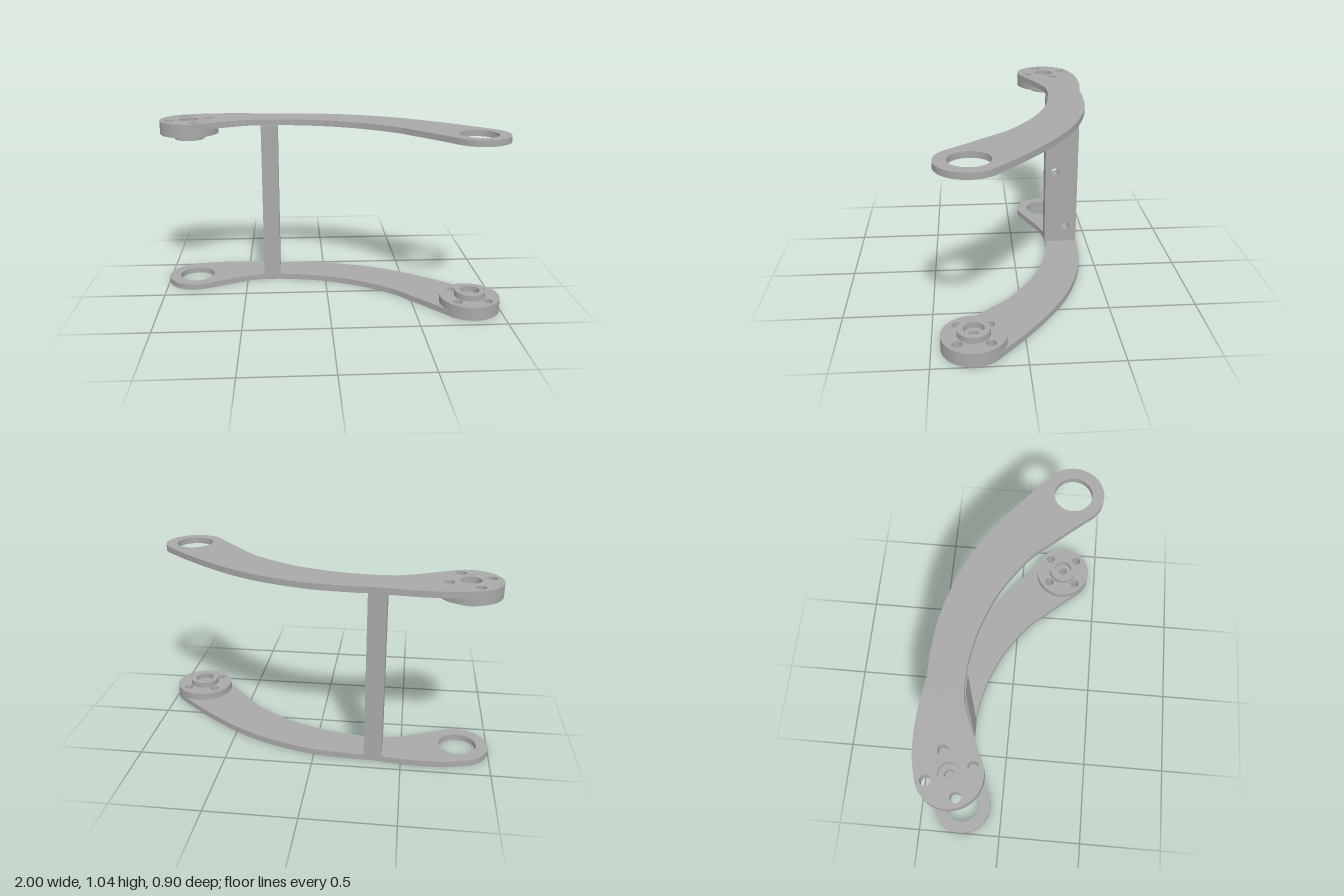
import * as THREE from 'three';
import { toCreasedNormals } from 'three/addons/utils/BufferGeometryUtils.js';

const metal = new THREE.MeshStandardMaterial({ color: 0xa8a8a8 });
metal.name = 'grey metal';

const T = 0.035;            // plate thickness
const H = 1.045;            // overall height
const R = 0.175;            // radius of the rounded plate ends
const LEFT_END = [-0.825, 0.247];   // (x, -z)
const RIGHT_END = [0.825, -0.275];
const rad = THREE.MathUtils.degToRad;

function addHole(shape, x, y, r) {
  const hole = new THREE.Path();
  hole.absarc(x, y, r, 0, Math.PI * 2, false);
  shape.holes.push(hole);
}

function addScrewHoles(shape, [cx, cy], startDeg) {
  for (let i = 0; i < 4; i++) {
    const a = rad(startDeg + i * 90);
    addHole(shape, cx + 0.123 * Math.cos(a), cy + 0.123 * Math.sin(a), 0.028);
  }
}

function disc([cx, cy], r, bore) {
  const s = new THREE.Shape();
  s.absarc(cx, cy, r, 0, Math.PI * 2, false);
  addHole(s, cx, cy, bore);
  return s;
}

// Lay a shape flat between two heights
function slab(name, shape, y0, y1) {
  let geo = new THREE.ExtrudeGeometry(shape, { depth: y1 - y0, bevelEnabled: false, curveSegments: 32 });
  geo.rotateX(-Math.PI / 2).translate(0, y0, 0);
  const mesh = new THREE.Mesh(toCreasedNormals(geo, 0.5), metal);
  mesh.name = name;
  return mesh;
}

// Curved arm outline with a round end on each side
function armOutline() {
  const v = (list) => list.map(([x, y]) => new THREE.Vector2(x, y));
  const onCircle = ([cx, cy], deg) => [cx + R * Math.cos(rad(deg)), cy + R * Math.sin(rad(deg))];
  const s = new THREE.Shape();
  s.moveTo(...onCircle(LEFT_END, 102));
  s.splineThru(v([[-0.75, 0.443], [-0.62, 0.45], [-0.5, 0.444], [-0.39, 0.43], [-0.34, 0.422]]));
  s.lineTo(-0.25, 0.422);
  s.splineThru(v([[-0.2, 0.42], [0, 0.4], [0.2, 0.347], [0.4, 0.263], [0.6, 0.138], [0.8, -0.02],
    onCircle(RIGHT_END, 38)]));
  s.absarc(...RIGHT_END, R, rad(38), rad(-145), true);
  s.splineThru(v([[0.6, -0.278], [0.5, -0.165], [0.4, -0.057], [0.2, 0.08], [0, 0.165], [-0.2, 0.21],
    [-0.38, 0.22], [-0.505, 0.195], onCircle(LEFT_END, -68)]));
  s.absarc(...LEFT_END, R, rad(-68), rad(102), true);
  return s;
}

// One arm: plate with a big opening at one end and a stepped hub at the other
function buildArm(name, hubEnd, openEnd, screwAngle, isTop) {
  const arm = new THREE.Group();
  arm.name = name;
  const place = (part, shape, a, b) =>
    arm.add(isTop ? slab(part, shape, H - b, H - a) : slab(part, shape, a, b));

  const plate = armOutline();
  addHole(plate, ...openEnd, 0.108);
  addHole(plate, ...hubEnd, 0.057);
  addScrewHoles(plate, hubEnd, screwAngle);
  place('armPlate', plate, 0, T);

  const hub = disc(hubEnd, R, 0.027);
  addScrewHoles(hub, hubEnd, screwAngle);
  place('hubDisc', hub, T, 0.08);
  place('hubCollar', disc(hubEnd, 0.089, 0.056), 0.08, 0.115);
  return arm;
}

// Upright between the arms, with three cross holes
function buildColumn() {
  const s = new THREE.Shape();
  s.moveTo(0.213, T);
  s.lineTo(0.42, T);
  s.lineTo(0.42, H - T);
  s.lineTo(0.213, H - T);
  s.closePath();
  addHole(s, 0.348, 0.143, 0.027);
  addHole(s, 0.275, 0.524, 0.027);
  addHole(s, 0.348, 0.905, 0.027);
  const geo = new THREE.ExtrudeGeometry(s, { depth: 0.102, bevelEnabled: false, curveSegments: 16 });
  // Slant the back face to follow the arm edge
  const p = geo.attributes.position;
  for (let i = 0; i < p.count; i++) {
    if (p.getX(i) > 0.419 && p.getZ(i) < 0.01) p.setX(i, 0.429);
  }
  geo.rotateY(Math.PI / 2).translate(-0.392, 0, 0);
  const mesh = new THREE.Mesh(toCreasedNormals(geo, 0.5), metal);
  mesh.name = 'column';
  return mesh;
}

export function createModel() {
  const model = new THREE.Group();
  model.name = 'twinArmBracket';
  model.add(
    buildArm('lowerArm', RIGHT_END, LEFT_END, 45, false),
    buildArm('upperArm', LEFT_END, RIGHT_END, 21, true),
    buildColumn()
  );
  return model;
}
